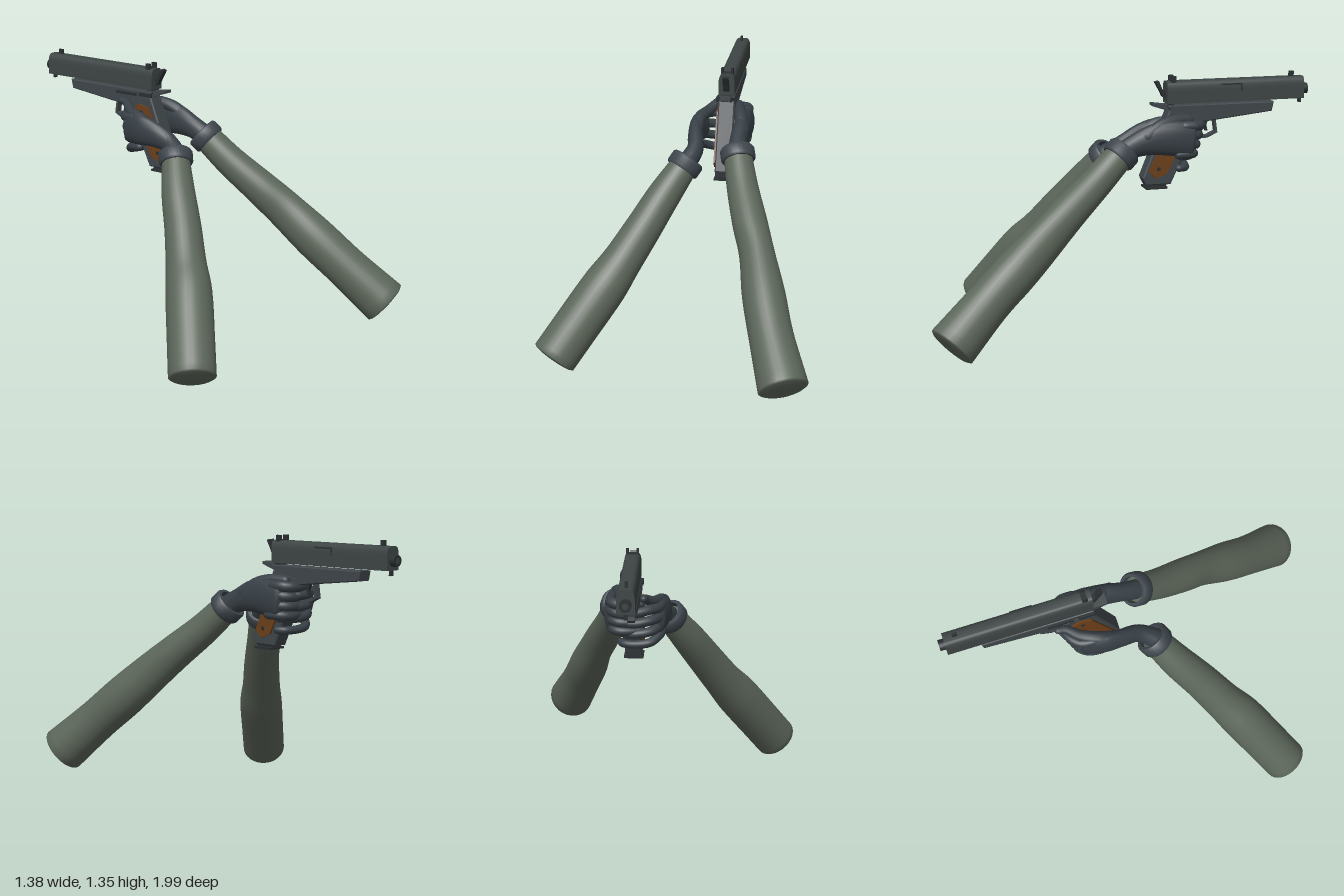
import * as THREE from 'three';
import { toCreasedNormals } from 'three/addons/utils/BufferGeometryUtils.js';

const mat = (name, color) => {
  const m = new THREE.MeshStandardMaterial({ color });
  m.name = name;
  return m;
};
const GX = 0.158; // centre plane of the pistol

// Smooth skin over elliptical stations [x, y, z, halfSide, halfHeight] with domed ends
function loft(stations, dome = 1, steps = 20, sides = 18) {
  const path = new THREE.CatmullRomCurve3(stations.map(s => new THREE.Vector3(s[0], s[1], s[2])), false, 'catmullrom');
  const size = new THREE.CatmullRomCurve3(stations.map(s => new THREE.Vector3(s[3], s[4] ?? s[3], 0)), false, 'catmullrom');
  const pos = [], idx = [], up = new THREE.Vector3(0, 1, 0);
  const rings = [];
  for (const k of [80, 55, 28]) rings.push([0, Math.cos(k * Math.PI / 180), -Math.sin(k * Math.PI / 180)]);
  for (let i = 0; i <= steps; i++) rings.push([i / steps, 1, 0]);
  for (const k of [28, 55, 80]) rings.push([1, Math.cos(k * Math.PI / 180), Math.sin(k * Math.PI / 180)]);
  const centres = rings.map(([t, scale, push]) => {
    const c = path.getPoint(t), r = size.getPoint(t), dir = path.getTangent(t);
    const side = dir.clone().cross(up).normalize(), top = side.clone().cross(dir);
    c.addScaledVector(dir, push * dome * Math.min(r.x, r.y));
    for (let j = 0; j < sides; j++) {
      const a = j / sides * Math.PI * 2;
      const p = c.clone().addScaledVector(side, Math.cos(a) * r.x * scale).addScaledVector(top, Math.sin(a) * r.y * scale);
      pos.push(p.x, p.y, p.z);
    }
    return c;
  });
  const n = rings.length, first = n * sides, last = first + 1;
  pos.push(...centres[0].toArray(), ...centres[n - 1].toArray());
  for (let j = 0; j < sides; j++) {
    const k = (j + 1) % sides;
    idx.push(first, j, k, last, (n - 1) * sides + k, (n - 1) * sides + j);
    for (let i = 0; i < n - 1; i++) {
      const a = i * sides + j, b = i * sides + k;
      idx.push(a, a + sides, b, b, a + sides, b + sides);
    }
  }
  const g = new THREE.BufferGeometry();
  g.setAttribute('position', new THREE.Float32BufferAttribute(pos, 3));
  g.setIndex(idx);
  g.computeVertexNormals();
  return g;
}

// Side outline [z, y] given a width in x, centred on x
function plate(outline, width, x = GX, bevel = 0) {
  const shape = new THREE.Shape(outline.map(([z, y]) => new THREE.Vector2(-z, y)));
  const g = new THREE.ExtrudeGeometry(shape, {
    depth: width - 2 * bevel, bevelEnabled: bevel > 0, bevelSize: bevel, bevelOffset: -bevel, bevelThickness: bevel, bevelSegments: 1,
  });
  g.translate(0, 0, -(width - 2 * bevel) / 2);
  g.rotateY(Math.PI / 2);
  return g.translate(x, 0, 0);
}
const box = (w, h, d, x, y, z) => new THREE.BoxGeometry(w, h, d).translate(x, y, z);

export function createModel() {
  const root = new THREE.Group();
  const sleeveMat = mat('sleeve green', 0x5c665a), gloveMat = mat('glove grey', 0x384046);
  const cuffMat = mat('cuff grey', 0x3e464d), slideMat = mat('slide metal', 0x3d4544);
  const frameMat = mat('frame metal', 0x40464a), darkMat = mat('dark metal', 0x2a2f32), woodMat = mat('grip wood', 0x6c3f19);
  const group = name => {
    const g = new THREE.Group();
    g.name = name;
    root.add(g);
    return g;
  };
  const add = (parent, name, geo, material) => {
    const m = new THREE.Mesh(geo, material);
    m.name = name;
    parent.add(m);
    return m;
  };

  // Slide, with a rounded top
  const gun = group('pistol');
  const w = 0.041, s = new THREE.Shape();
  s.moveTo(-w, 1.218);
  s.lineTo(w, 1.218);
  s.lineTo(w, 1.28);
  s.quadraticCurveTo(w, 1.327, 0.018, 1.328);
  s.lineTo(-0.018, 1.328);
  s.quadraticCurveTo(-w, 1.327, -w, 1.28);
  const slide = new THREE.ExtrudeGeometry(s, { depth: 0.72, bevelEnabled: false, curveSegments: 6 });
  add(gun, 'slide', toCreasedNormals(slide.translate(GX, 0, -0.972), 0.6), slideMat);
  const barrel = new THREE.CylinderGeometry(0.027, 0.027, 0.035, 20).rotateX(Math.PI / 2);
  add(gun, 'barrel', barrel.translate(GX, 1.263, -0.982), darkMat);
  add(gun, 'bore', new THREE.CircleGeometry(0.014, 16).rotateY(Math.PI).translate(GX, 1.263, -1.0), slideMat);
  add(gun, 'frontLug', box(0.02, 0.03, 0.012, GX, 1.208, -0.963), darkMat);
  add(gun, 'frontSight', box(0.012, 0.03, 0.025, GX, 1.338, -0.915), darkMat);
  for (const side of [-1, 1]) add(gun, 'rearSight', box(0.012, 0.036, 0.026, GX + side * 0.025, 1.335, -0.287), darkMat);
  add(gun, 'rearSightBase', box(0.062, 0.012, 0.026, GX, 1.326, -0.287), darkMat);
  add(gun, 'ejectionPort', box(0.003, 0.007, 0.11, GX + w, 1.305, -0.585), darkMat);
  add(gun, 'ejectionPortEdge', box(0.003, 0.035, 0.006, GX + w, 1.287, -0.637), darkMat);
  add(gun, 'hammer', plate([[-0.195, 1.325], [-0.215, 1.33], [-0.232, 1.29], [-0.252, 1.275], [-0.252, 1.24], [-0.235, 1.25], [-0.218, 1.285]], 0.03), darkMat);

  // Frame, grip and magazine
  add(gun, 'frame', plate([[-0.25, 1.208], [-0.812, 1.208], [-0.802, 1.16], [-0.45, 1.122], [-0.4, 1.12], [-0.31, 1.13]], 0.082, GX, 0.005), frameMat);
  add(gun, 'slideRail', box(0.055, 0.03, 0.03, GX, 1.212, -0.275), darkMat);
  add(gun, 'beavertail', plate([[-0.18, 1.222], [-0.18, 1.208], [-0.25, 1.185], [-0.3, 1.16], [-0.3, 1.208], [-0.23, 1.215]], 0.056), frameMat);
  add(gun, 'grip', plate([[-0.262, 1.185], [-0.43, 1.15], [-0.272, 0.812], [-0.145, 0.812], [-0.128, 0.85]], 0.084, GX, 0.006), frameMat);
  add(gun, 'magazineBase', box(0.096, 0.01, 0.11, GX, 0.797, -0.198), darkMat);
  add(gun, 'magazine', box(0.06, 0.02, 0.1, GX, 0.808, -0.2), darkMat);
  for (const side of [-1, 1]) {
    const panel = [[-0.155, 0.885], [-0.19, 0.848], [-0.25, 0.87], [-0.37, 1.11], [-0.33, 1.14], [-0.27, 1.125]];
    add(gun, 'gripPanel', plate(panel, 0.012, GX + side * 0.046), woodMat);
    for (const [z, y] of [[-0.205, 0.895], [-0.315, 1.1]]) {
      const screw = new THREE.CylinderGeometry(0.01, 0.01, 0.004, 12).rotateZ(Math.PI / 2);
      add(gun, 'gripScrew', screw.translate(GX + side * 0.053, y, z), darkMat);
    }
  }
  add(gun, 'safetyLever', box(0.012, 0.016, 0.08, GX - 0.047, 1.19, -0.29), darkMat);
  add(gun, 'slideStop', box(0.01, 0.014, 0.13, GX - 0.045, 1.185, -0.42), darkMat);

  // Trigger and guard
  const guard = [[-0.37, 1.05], [-0.41, 1.033], [-0.47, 1.035], [-0.522, 1.06], [-0.512, 1.128],
    [-0.5, 1.128], [-0.509, 1.067], [-0.467, 1.047], [-0.41, 1.045], [-0.375, 1.062]];
  add(gun, 'triggerGuard', plate(guard, 0.034), frameMat);
  add(gun, 'trigger', plate([[-0.45, 1.13], [-0.475, 1.13], [-0.466, 1.1], [-0.472, 1.07], [-0.46, 1.07], [-0.452, 1.1]], 0.018), darkMat);

  // Sleeves and cuffs
  const arms = {
    left: [[0.25, 0.99, 0, 0.07, 0.072], [0.29, 0.87, 0.13, 0.078, 0.08], [0.345, 0.745, 0.28, 0.086, 0.09], [0.395, 0.635, 0.405, 0.086, 0.1],
      [0.445, 0.5, 0.56, 0.103, 0.11], [0.5, 0.36, 0.72, 0.106, 0.11], [0.578, 0.19, 0.905, 0.12, 0.122]],
    right: [[-0.015, 0.93, 0.01, 0.07], [-0.11, 0.79, 0.1, 0.084], [-0.2, 0.645, 0.2, 0.092], [-0.29, 0.505, 0.29, 0.1],
      [-0.37, 0.39, 0.37, 0.114], [-0.49, 0.22, 0.475, 0.115], [-0.588, 0.08, 0.56, 0.115]],
  };
  for (const [name, st] of Object.entries(arms)) {
    const arm = group(name + 'Arm');
    add(arm, 'sleeve', loft(st, 0.14, 36, 28), sleeveMat);
    const profile = [[0.066, -0.034], [0.08, -0.034], [0.087, -0.024], [0.087, 0.024], [0.08, 0.034], [0.066, 0.034], [0.066, -0.034]];
    const cuff = new THREE.LatheGeometry(profile.map(p => new THREE.Vector2(...p)), 28);
    const from = new THREE.Vector3(...st[0].slice(0, 3)), to = new THREE.Vector3(...st[1].slice(0, 3));
    const ring = add(arm, 'cuff', toCreasedNormals(cuff, 0.9), cuffMat);
    ring.position.copy(from);
    ring.quaternion.setFromUnitVectors(new THREE.Vector3(0, 1, 0), to.sub(from).normalize());
  }

  // Hand on the +x side: palm against the grip, fingers around its front
  const lh = group('leftHand');
  add(lh, 'palm', loft([[0.25, 0.98, 0.02, 0.05, 0.055], [0.242, 1.025, -0.07, 0.045, 0.058], [0.247, 1.055, -0.18, 0.045, 0.08],
    [0.255, 1.055, -0.28, 0.042, 0.088], [0.26, 1.045, -0.36, 0.034, 0.085]], 0.6), gloveMat);
  for (let i = 0; i < 4; i++) {
    const y = 1.115 - i * 0.047, z = -0.385 + i * 0.011, r = 0.026 - i * 0.001;
    add(lh, 'finger', loft([[0.262, y, z + 0.06, r], [0.258, y, z, r], [0.222, y - 0.004, z - 0.03, r], [0.175, y - 0.006, z - 0.03, r * 0.95],
      [0.115, y - 0.006, z - 0.012, r * 0.85]], 1, 14, 12), gloveMat);
  }
  add(lh, 'thumb', loft([[0.255, 1.07, -0.13, 0.034], [0.24, 1.115, -0.2, 0.034], [0.225, 1.14, -0.28, 0.028], [0.215, 1.14, -0.36, 0.022]], 1, 14, 14), gloveMat);

  // Hand on the -x side: arched palm with fingers reaching across the grip
  const rh = group('rightHand');
  add(rh, 'palm', loft([[-0.01, 0.935, 0.02, 0.05, 0.05], [0.025, 0.985, -0.06, 0.042, 0.05], [0.015, 1.02, -0.15, 0.04, 0.065],
    [0.008, 1.035, -0.24, 0.036, 0.08], [0.03, 1.03, -0.335, 0.034, 0.08]], 0.6), gloveMat);
  for (let i = 0; i < 4; i++) {
    const y = 1.08 - i * 0.05, z = -0.37 + i * 0.012, r = 0.025 - i * 0.001, d = i * 0.008;
    add(rh, 'finger', loft([[0.018, y + 0.01, z + 0.08, r], [0.03, y, z + 0.02, r], [0.075, y - d, z - 0.025, r], [0.14, y - 0.01 - d, z - 0.05 + d, r * 0.95],
      [0.2, y - 0.01 - d, z - 0.035 + d, r * 0.9], [0.218, y - 0.01 - d, z + 0.025, r * 0.85]], 1, 18, 12), gloveMat);
  }
  add(rh, 'thumb', loft([[0.015, 1.05, -0.17, 0.034], [0.02, 1.09, -0.25, 0.032], [0.055, 1.105, -0.34, 0.028],
    [0.095, 1.135, -0.4, 0.022], [0.1, 1.145, -0.44, 0.018]], 1, 16, 14), gloveMat);
  return root;
}
